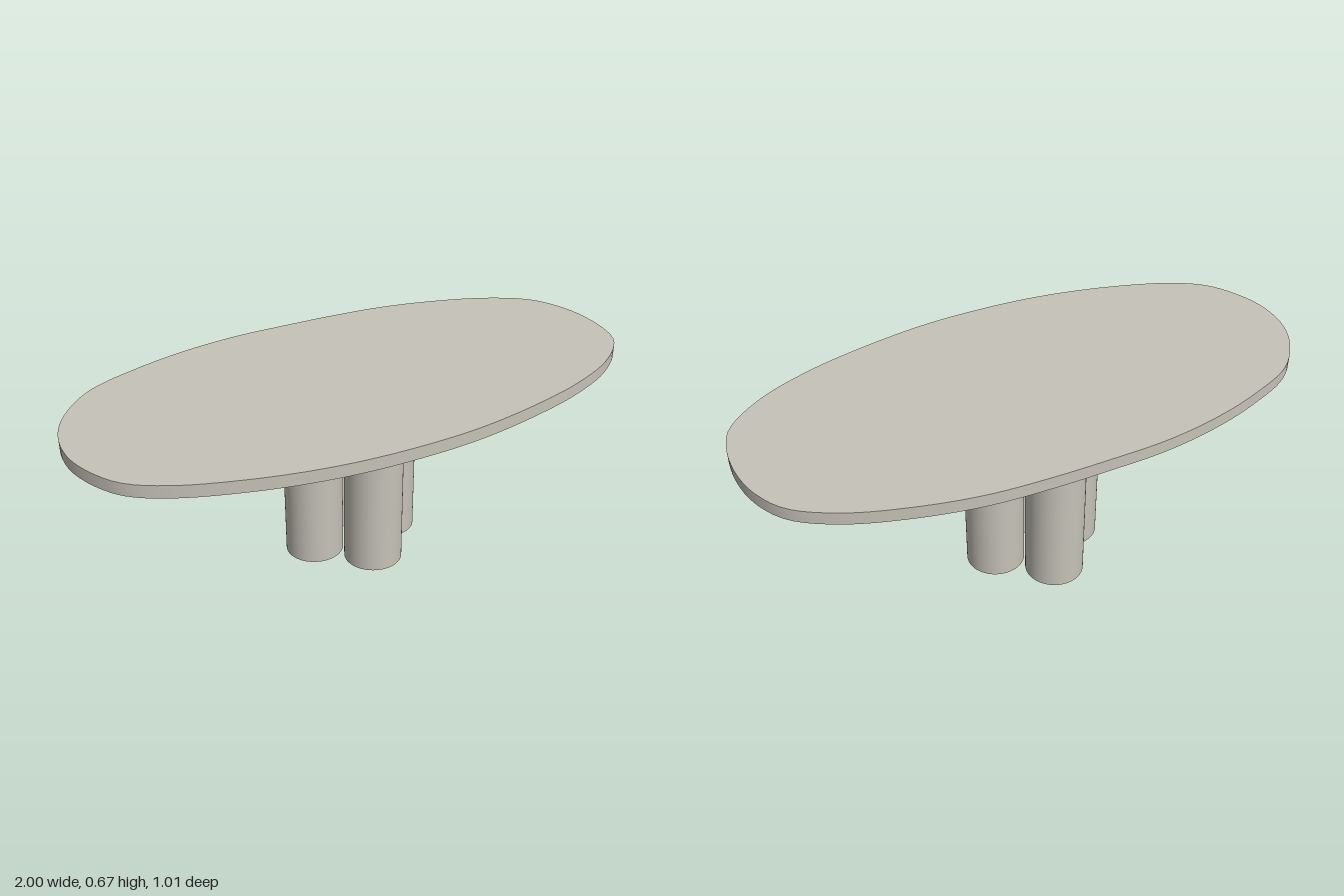
import * as THREE from 'three';
import { toCreasedNormals } from 'three/addons/utils/BufferGeometryUtils.js';

const TOP_Y = 0.67;
const TOP_THICKNESS = 0.043;
const LEG_RADIUS = 0.103;
const LEG_SPREAD = 0.153; // distance of each leg from the middle of the cluster

// Organic outline of the tabletop as [x, z], clockwise from the left end of the back
const OUTLINE = [
  [-1, 0], [-0.985, -0.13], [-0.93, -0.245], [-0.8, -0.374], [-0.6, -0.45], [-0.4, -0.493],
  [-0.2, -0.51], [0, -0.502], [0.2, -0.487], [0.4, -0.46], [0.6, -0.405], [0.8, -0.32],
  [0.93, -0.22], [0.982, -0.115], [1, 0], [0.987, 0.135], [0.945, 0.237], [0.8, 0.35],
  [0.6, 0.427], [0.4, 0.47], [0.2, 0.496], [0.05, 0.502], [-0.2, 0.487], [-0.4, 0.453],
  [-0.6, 0.395], [-0.8, 0.31], [-0.915, 0.225], [-0.973, 0.12],
];

export function createModel() {
  const model = new THREE.Group();
  model.name = 'table';
  const stone = new THREE.MeshStandardMaterial({ color: 0xc6c2b9 });
  stone.name = 'warm grey stone';

  // Tabletop: smooth closed outline extruded downwards
  const curve = new THREE.CatmullRomCurve3(
    OUTLINE.map(([x, z]) => new THREE.Vector3(x, z, 0)), true);
  const points = curve.getSpacedPoints(144).slice(0, -1);
  const shape = new THREE.Shape(points.map((p) => new THREE.Vector2(p.x, p.y)));
  const slab = new THREE.ExtrudeGeometry(shape, { depth: TOP_THICKNESS, bevelEnabled: false });
  slab.rotateX(Math.PI / 2);
  slab.translate(0, TOP_Y, 0);
  const top = new THREE.Mesh(toCreasedNormals(slab, Math.PI / 6), stone);
  top.name = 'tabletop';
  model.add(top);

  // Base: four round columns set in a diamond, slightly off centre
  const base = new THREE.Group();
  base.name = 'base';
  base.position.set(0.01, 0, -0.053);
  const legHeight = TOP_Y - TOP_THICKNESS;
  const legGeometry = new THREE.CylinderGeometry(LEG_RADIUS, LEG_RADIUS, legHeight, 64);
  ['leftLeg', 'frontLeg', 'rightLeg', 'backLeg'].forEach((name, i) => {
    const angle = (i * Math.PI) / 2;
    const leg = new THREE.Mesh(legGeometry, stone);
    leg.name = name;
    leg.position.set(LEG_SPREAD * Math.cos(angle), legHeight / 2, LEG_SPREAD * Math.sin(angle));
    base.add(leg);
  });
  model.add(base);
  return model;
}
